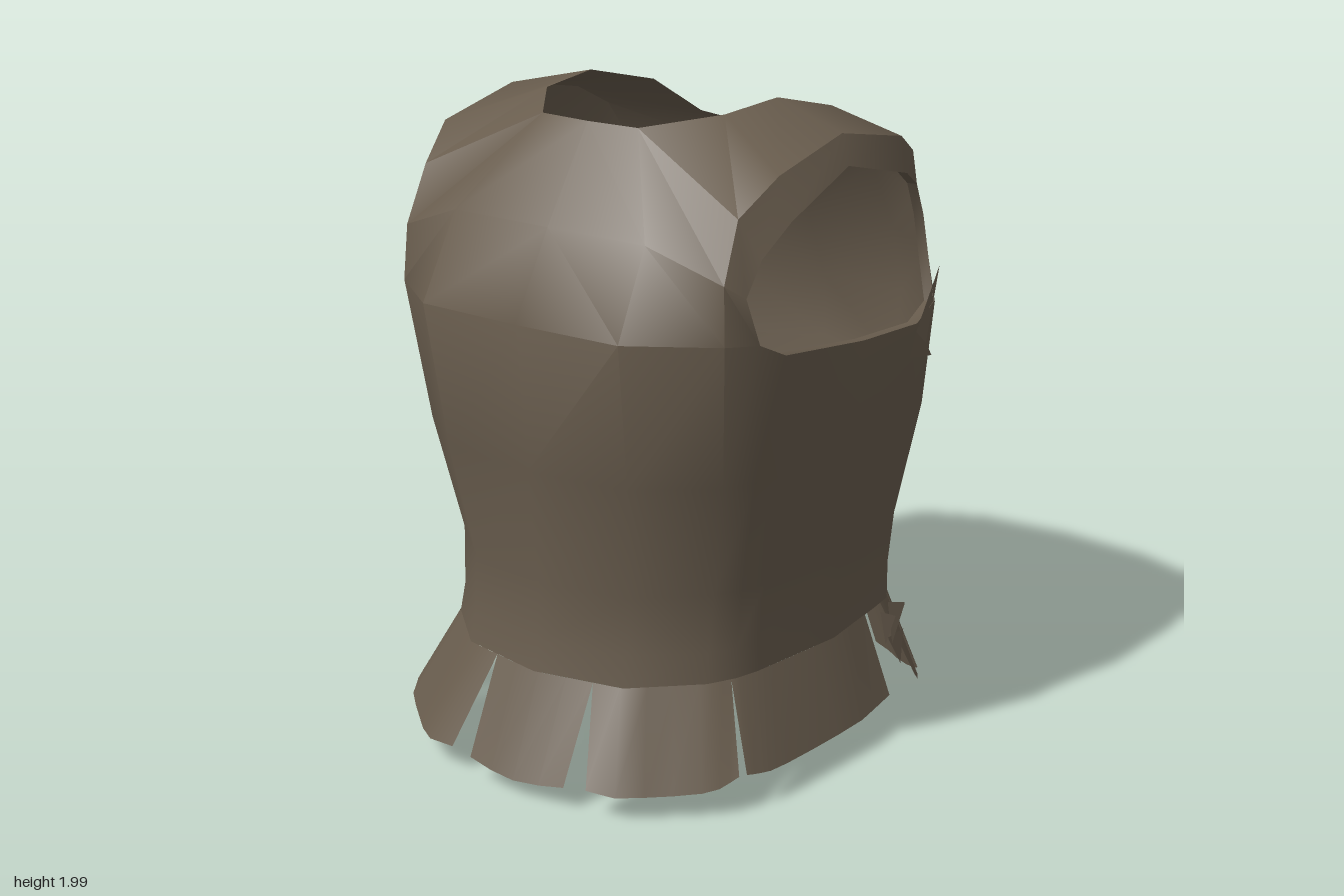
import * as THREE from 'three';
import { mergeGeometries, toCreasedNormals } from 'three/addons/utils/BufferGeometryUtils.js';

const leather = new THREE.MeshStandardMaterial({ color: 0x685c4d, side: THREE.DoubleSide });
leather.name = 'worn brown leather';

// Surface through rows of points; missing points leave openings.
function grid(rows, flip = false) {
  const pos = [];
  const tri = (a, b, c) => pos.push(...a, ...(flip ? c : b), ...(flip ? b : c));
  for (let r = 0; r < rows.length - 1; r++) {
    for (let c = 0; c < rows[r].length - 1; c++) {
      const p = rows[r][c], q = rows[r][c + 1], s = rows[r + 1][c], t = rows[r + 1][c + 1];
      if (p && q && s && t) { tri(p, q, s); tri(q, t, s); }
    }
  }
  const g = new THREE.BufferGeometry();
  g.setAttribute('position', new THREE.Float32BufferAttribute(pos, 3));
  return g;
}

const mirror = ([x, y, z]) => [x, y, -z];

// Yoke rows run from the chest over the shoulder to the back:
// armhole edge, shoulder, neck edge, centre line.
const chest = [
  [[0.46, 1.33, 0.635], [0.58, 1.29, 0.57], [0.75, 1.25, 0.35], [0.84, 1.22, 0]],
  [[0.48, 1.46, 0.60], [0.57, 1.46, 0.54], [0.70, 1.47, 0.34], [0.74, 1.45, 0]],
  [[0.45, 1.60, 0.595], [0.50, 1.66, 0.54], [0.60, 1.69, 0.32], [0.63, 1.69, 0]],
  [[0.38, 1.71, 0.61], [0.42, 1.80, 0.57], [0.50, 1.80, 0.26], [0.49, 1.78, 0]],
];
const strap = [
  [[0.27, 1.77, 0.64], [0.30, 1.87, 0.60], [0.34, 1.92, 0.33]],
  [[-0.07, 1.86, 0.65], [-0.03, 1.94, 0.60], [0.03, 2.00, 0.34]],
  [[-0.36, 1.76, 0.65], [-0.35, 1.88, 0.60], [-0.21, 1.99, 0.32]],
];
const back = [
  [[-0.46, 1.67, 0.62], [-0.49, 1.78, 0.56], [-0.42, 1.97, 0.17], [-0.43, 1.97, 0]],
  [[-0.52, 1.57, 0.61], [-0.57, 1.61, 0.57], [-0.62, 1.70, 0.34], [-0.62, 1.70, 0]],
  [[-0.48, 1.43, 0.63], [-0.58, 1.44, 0.58], [-0.76, 1.45, 0.35], [-0.77, 1.45, 0]],
];
const yoke = [...chest, ...strap, ...back];
const underarm = [[0.32, 1.30, 0.66], [0, 1.33, 0.67], [-0.38, 1.38, 0.65]];

// Closed ring under the arms, from the chest round the +z side and back.
const half = [...[...chest[0]].reverse(), ...underarm, ...back[2]];
const ring = [...half, ...half.slice(1, -1).reverse().map(mirror)];
const N = ring.length;

// Point on the body outline at ring position u, scaled to the given reaches.
// Rounding draws in the corners, least at the front left one.
function outline(u, y, front, rear, side, rounding) {
  const i = Math.floor(u), f = u - i;
  const a = ring[(i + N) % N], b = ring[(i + 1 + N) % N];
  const x = a[0] + (b[0] - a[0]) * f, z = a[2] + (b[2] - a[2]) * f;
  const share = x < 0 ? 1 : z < 0 ? 0.8 : 0.5;
  const k = 1 - rounding * share * Math.abs(x * z) / 0.516;
  return [x * k * (x > 0 ? front / 0.84 : rear / 0.77), y, z * k * side / 0.67];
}

const hemReach = [0.74, 0.72, 0.59, 0.13];
const hemY = (u) => 0.37 - 0.08 * Math.max(0, Math.cos(u / N * Math.PI * 2)) ** 3;

function torso() {
  const levels = [
    [0.46, 0.75, 0.705, 0.59, 0.15], [0.64, 0.78, 0.69, 0.605, 0.16],
    [1.0, 0.85, 0.73, 0.655, 0.08],
  ];
  const loop = (makePoint) => Array.from({ length: N + 1 }, (_, u) => makePoint(u));
  const rows = [loop((u) => outline(u, hemY(u), ...hemReach))];
  for (const [y, ...reach] of levels) rows.push(loop((u) => outline(u, y, ...reach)));
  rows.push([...ring, ring[0]]);
  return [grid(rows, true), grid(yoke), grid(yoke.map((r) => r.map(mirror)), true)];
}

// Narrow turned-in edge round an armhole.
function armholeLip(flip) {
  const edge = [...yoke.map((r) => r[0]), ...[...underarm].reverse(), yoke[0][0]];
  const inner = edge.map(([x, y, z]) => [x * 0.985, y, z - 0.03]);
  const rows = [edge, inner];
  return grid(flip ? rows.map((r) => r.map(mirror)) : rows, flip);
}

// Flared skirt flap: hangs from the hem, or from behind it at the chest,
// and narrows downwards so that slits open between neighbours.
function flap([u0, u1, y0, y1, tucked]) {
  const n = Math.ceil((u1 - u0) * 3), taper = 0.11;
  const top = [], bottom = [];
  for (let k = 0; k <= n; k++) {
    const t = k / n, u = u0 + (u1 - u0) * t;
    top.push(tucked ? outline(u, 0.38, 0.72, 0.70, 0.575, 0.13) : outline(u, hemY(u), ...hemReach));
    const sag = -0.02 * Math.sin(Math.PI * t);
    bottom.push(outline(u0 + taper + (u1 - u0 - 2 * taper) * t,
      y0 + (y1 - y0) * t + sag, 0.79, 0.85, 0.69, 0.06));
  }
  return grid([bottom, top], true);
}

// ring start, ring end, lower edge height at each end, tucked behind the hem
const flaps = [
  [-0.5, 0.78, 0.03, 0.04, true], [0.78, 2.3, 0.03, 0.08, true], [2.3, 3.4, 0.07, 0.12, true],
  [4.25, 7.15, 0.13, 0.13], [7.15, 9.35, 0.13, 0.10], [9.35, 10.55, 0.09, 0.09],
  [10.55, 12.75, 0.10, 0.12], [12.75, 15.7, 0.12, 0.12],
  [17.1, 18.25, 0.12, 0.06, true], [18.25, 19.5, 0.05, 0.04, true],
];

// Torn slivers lifting off the leather: three corners each.
const slivers = [
  [[0.28, 1.20, 0.66], [0.43, 1.17, 0.65], [0.32, 1.30, 0.665]],
  [[0.30, 1.28, 0.67], [0.55, 1.42, 0.60], [0.36, 1.23, 0.67]],
  [[0.27, 0.36, 0.59], [0.24, 0.27, 0.63], [0.33, 0.33, 0.61]],
  [[0.27, 0.28, 0.62], [0.30, 0.19, 0.65], [0.38, 0.27, 0.61]],
  [[0.33, 0.37, 0.58], [0.42, 0.34, 0.59], [0.28, 0.26, 0.63]],
  [[0.46, 0.70, -0.53], [0.53, 0.66, -0.54], [0.52, 0.72, -0.47]],
  [[0.48, 0.85, -0.55], [0.56, 0.82, -0.55], [0.54, 0.89, -0.52]],
  [[0.42, 0.36, -0.57], [0.46, 0.22, -0.66], [0.52, 0.35, -0.55]],
  [[0.36, 0.37, -0.57], [0.30, 0.25, -0.65], [0.38, 0.30, -0.62]],
];

function sliverGeometry(points) {
  const g = new THREE.BufferGeometry();
  g.setAttribute('position', new THREE.Float32BufferAttribute(points.flat(), 3));
  return g;
}

export function createModel() {
  const model = new THREE.Group();
  model.name = 'tornLeatherCuirass';
  const add = (name, parts, crease) => {
    const mesh = new THREE.Mesh(toCreasedNormals(mergeGeometries(parts), crease), leather);
    mesh.name = name;
    model.add(mesh);
  };
  add('torso', torso(), 0.7);
  add('armholeLips', [armholeLip(false), armholeLip(true)], 0.5);
  add('skirtFlaps', flaps.map(flap), 0.6);
  add('tornSlivers', slivers.map(sliverGeometry), 0.1);
  return model;
}
